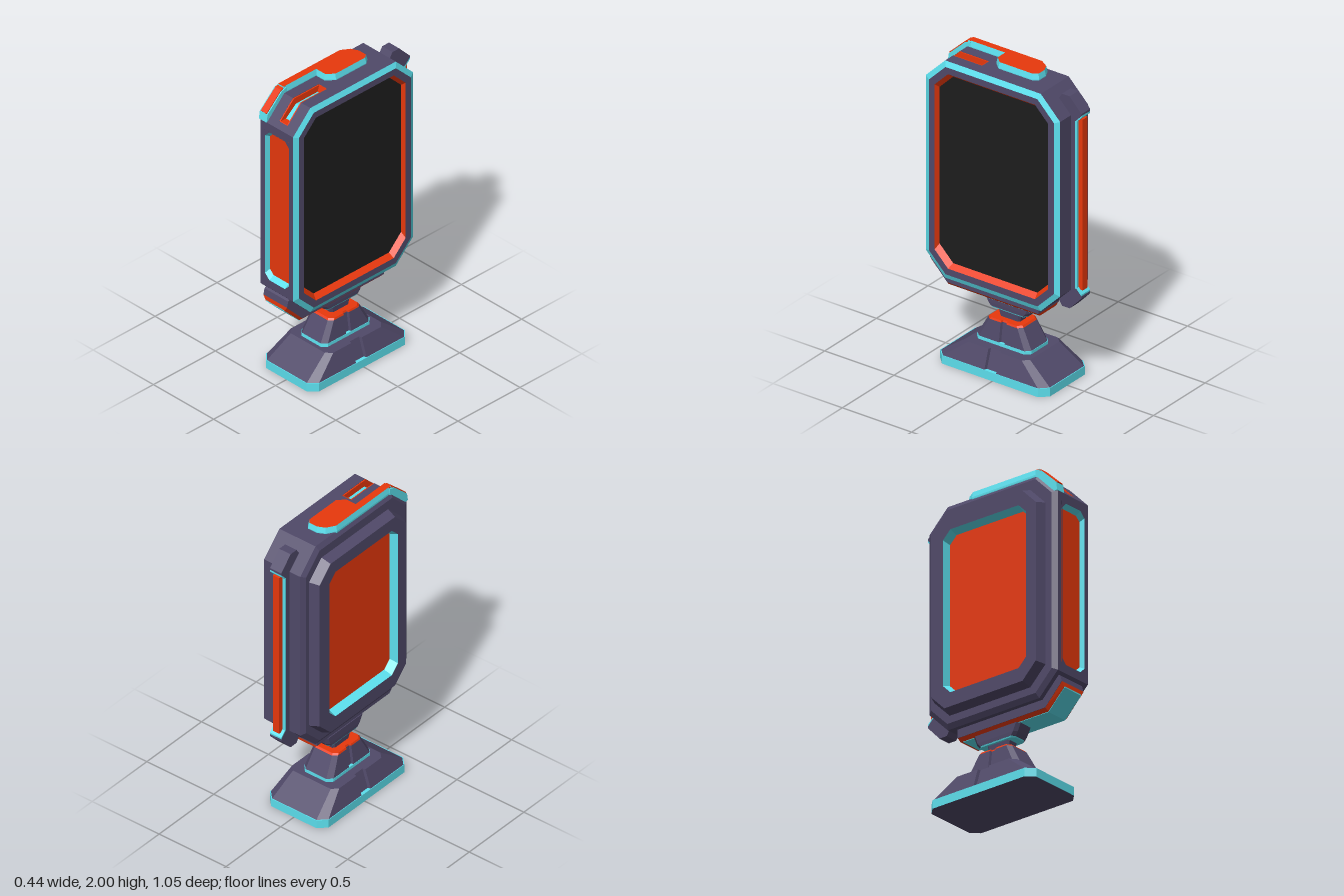
import * as THREE from 'three';

const mat = (color) => new THREE.MeshStandardMaterial({ color, flatShading: true });

export function createModel() {
  const root = new THREE.Group();
  const purple = mat(0x504969), cyan = mat(0x5ce0ee), orange = mat(0xe8380c), black = mat(0x1d1d1d);

  const add = (name, geo, material) => {
    const m = new THREE.Mesh(geo, material);
    m.name = name;
    root.add(m);
    return m;
  };

  // chamfered rectangle, counter-clockwise, with an optional groove n deep in both sides
  const oct = (u0, u1, v0, v1, c, n = 0, va = 0, vb = 0) => {
    const e = 0.006;
    const groove = n ? [[0, va], [n, va + e], [n, vb - e], [0, vb]] : [];
    return [
      [u0 + c, v0], [u1 - c, v0], [u1, v0 + c],
      ...groove.map(([d, v]) => [u1 - d, v]),
      [u1, v1 - c], [u1 - c, v1], [u0 + c, v1], [u0, v1 - c],
      ...groove.map(([d, v]) => [u0 + d, v]).reverse(),
      [u0, v0 + c]];
  };

  // section [t, u0, u1, v0, v1, chamfer] shrunk evenly by d
  const inset = ([, u0, u1, v0, v1, c], d, t) => [t, u0 + d, u1 - d, v0 + d, v1 - d, c - 0.586 * d];

  // skin through sections along local z, turned to face a side
  const turn = {
    front: (g) => g,
    left: (g) => g.rotateY(Math.PI / 2),
    right: (g) => g.rotateY(-Math.PI / 2),
    up: (g) => g.rotateX(-Math.PI / 2),
  };
  const loft = (name, facing, material, sections, cap = false) => {
    const pos = [], idx = [];
    const loops = sections.map(([, ...s]) => oct(...s));
    const n = loops[0].length;
    loops.forEach((loop, i) => loop.forEach(([u, v]) => pos.push(u, v, sections[i][0])));
    const last = (loops.length - 1) * n;
    for (let a = 0; a < last; a++) {
      const b = a % n === n - 1 ? a - n + 1 : a + 1;
      idx.push(a, b, b + n, a, b + n, a + n);
    }
    if (cap) {
      const [t, u0, u1, v0, v1] = sections.at(-1);
      pos.push((u0 + u1) / 2, (v0 + v1) / 2, t);
      for (let j = 0; j < n; j++) idx.push(last + n, last + j, last + (j + 1) % n);
    }
    const g = new THREE.BufferGeometry();
    g.setAttribute('position', new THREE.Float32BufferAttribute(pos, 3));
    g.setIndex(idx);
    const flat = g.toNonIndexed();
    flat.computeVertexNormals();
    return add(name, turn[facing](flat), material);
  };

  // side profile of [z, y] points extruded from x0 to x1
  const slab = (name, pts, x0, x1, material) => {
    const shape = new THREE.Shape(pts.map(([z, y]) => new THREE.Vector2(-z, y)));
    const g = new THREE.ExtrudeGeometry(shape, { depth: x1 - x0, bevelEnabled: false });
    return add(name, g.rotateY(Math.PI / 2).translate(x0, 0, 0), material);
  };
  const box = (name, x0, x1, y0, y1, z0, z1, material) =>
    add(name, new THREE.BoxGeometry(x1 - x0, y1 - y0, z1 - z0)
      .translate((x0 + x1) / 2, (y0 + y1) / 2, (z0 + z1) / 2), material);

  // main housing, in slices so the front panel and top slot are cut in
  const bodyProfile = (notch, slot) => [
    [0.52, 0.675],
    ...(notch ? [[0.52, 0.725], [0.485, 0.725], [0.485, 1.765], [0.52, 1.765]] : []),
    [0.52, 1.82],
    ...(slot ? [[0.49, 1.85], [0.445, 1.84], [0.36, 1.91], [0.18, 1.91], [0.17, 1.96]] : [[0.38, 1.96]]),
    [-0.31, 1.96], [-0.45, 1.82], [-0.45, 0.675], [-0.31, 0.535], [0.38, 0.535]];
  [[-0.105, -0.075, 0, 0], [-0.075, 0.02, 1, 0], [0.02, 0.09, 1, 1], [0.09, 0.138, 1, 0], [0.138, 0.145, 0, 0]]
    .forEach(([x0, x1, notch, slot]) => slab('housing', bodyProfile(notch, slot), x0, x1, purple));

  // screen side: cyan bezel, inner rim, orange slope and screen
  const L = [0.145, -0.52, 0.45, 0.535, 1.96, 0.14];
  const edge = inset(L, 0, 0.165), rim = inset(L, 0.033, 0.18), lip = inset(L, 0.075, 0.18);
  const glass = [0.147, -0.434, 0.37, 0.637, 1.859, 0.098];
  loft('housingEdge', 'left', purple, [L, edge]);
  loft('bezel', 'left', cyan, [edge, rim]);
  loft('bezelRim', 'left', purple, [rim, lip]);
  loft('screenSurround', 'left', orange, [lip, glass]);
  loft('screen', 'left', black, [glass], true);

  // rear cover with a sunken panel
  const B = [0.105, -0.45, 0.52, 0.535, 1.96, 0.14];
  loft('housingBevel', 'right', purple, [B, inset(B, 0.03, 0.125)], true);
  const C = [0.185, -0.37, 0.42, 0.635, 1.848, 0.1];
  const open = [0.185, -0.28, 0.345, 0.725, 1.765, 0.055], floor = [0.133, -0.27, 0.333, 0.745, 1.745, 0.05];
  loft('rearCover', 'right', purple, [inset(C, -0.025, 0.12), C, open]);
  loft('rearPanelWall', 'right', cyan, [open, floor]);
  loft('rearPanel', 'right', orange, [floor], true);

  // front panel: corner-cut frame, sloped wall and sunken face
  const F = [0.5205, -0.066, 0.133, 0.73, 1.76, 0.035], face = [0.488, -0.058, 0.127, 0.752, 1.738, 0.03];
  loft('frontFrame', 'front', purple, [[0.5205, -0.075, 0.138, 0.725, 1.765, 0], F]);
  loft('frontPanelWall', 'front', cyan, [F, face]);
  loft('frontPanel', 'front', orange, [face], true);

  // top slot lining
  const slotShape = [[0.172, 1.958], [0.183, 1.91], [0.36, 1.91], [0.445, 1.84], [0.488, 1.85], [0.38, 1.958]];
  slab('slotCheek', slotShape, 0.02, 0.028, orange);
  slab('slotCheek', slotShape, 0.082, 0.09, orange);
  slab('slotFloor', [[0.18, 1.91], [0.18, 1.917], [0.363, 1.917], [0.448, 1.847], [0.445, 1.84], [0.36, 1.91]], 0.028, 0.082, cyan);
  slab('slotEnd', [[0.443, 1.841], [0.443, 1.851], [0.487, 1.852], [0.49, 1.85]], 0.028, 0.082, orange);
  slab('slotEnd', [[0.17, 1.959], [0.175, 1.959], [0.188, 1.914], [0.18, 1.91]], 0.028, 0.082, orange);

  // raised top plate with sloped sides, running down the front slope as a strip
  const plate = new THREE.Shape([
    [-0.105, 0.38], [-0.105, -0.12], [-0.07, -0.175], [-0.025, -0.197], [0.035, -0.197],
    [0.055, -0.17], [0.055, 0.07], [0.013, 0.115], [-0.058, 0.115], [-0.058, 0.38],
  ].map(([x, z]) => new THREE.Vector2(x, -z)));
  add('topPlate', new THREE.ExtrudeGeometry(plate, {
    depth: 0.01, bevelThickness: 0.035, bevelSize: 0.008, bevelOffset: -0.001, bevelSegments: 1,
  }).rotateX(-Math.PI / 2).translate(0, 1.955, 0), [orange, cyan]);
  slab('topStripSide', [[0.36, 1.95], [0.36, 1.992], [0.4, 1.98], [0.515, 1.872], [0.523, 1.82], [0.5, 1.82]], -0.115, -0.051, cyan);
  slab('topStrip', [[0.36, 1.985], [0.36, 2], [0.4, 1.987], [0.518, 1.877], [0.512, 1.87], [0.395, 1.975]], -0.106, -0.058, orange);

  // back rail: two end caps holding a flanged bar
  const mirrored = (pts) => pts.map(([z, y]) => [z, 2.49 - y]);
  const cap = [[-0.36, 1.9], [-0.385, 1.94], [-0.44, 1.94], [-0.525, 1.85], [-0.525, 1.835], [-0.48, 1.79], [-0.43, 1.79]];
  const capTrim = [[-0.525, 1.838], [-0.525, 1.825], [-0.492, 1.79], [-0.478, 1.79]];
  for (const flip of [(p) => p, mirrored]) {
    slab('railCap', flip(cap), -0.025, 0.06, purple);
    slab('railCapTrim', flip(capTrim), -0.025, 0.06, cyan);
  }
  box('railMount', -0.025, 0.06, 0.69, 1.8, -0.48, -0.44, purple);
  box('railFlange', -0.025, 0.06, 0.69, 1.8, -0.492, -0.48, cyan);
  box('railBar', -0.006, 0.042, 0.685, 1.805, -0.521, -0.49, orange);

  // chin plate under the housing; its trim narrows towards the bottom
  slab('chin', [[0.515, 0.65], [0.525, 0.61], [0.4, 0.48], [-0.26, 0.48], [-0.26, 0.56], [0.4, 0.56], [0.5, 0.66]], -0.076, 0.12, purple);
  const trim = slab('chinTrim', [[0.525, 0.612], [0.525, 0.58], [0.405, 0.46], [-0.255, 0.46], [-0.26, 0.482], [0.4, 0.482]], -0.076, 0.12, orange).geometry;
  const p = trim.attributes.position;
  for (let i = 0; i < p.count; i++) {
    if (p.getY(i) < 0.47 || (p.getZ(i) > 0.5 && p.getY(i) < 0.6)) p.setX(i, 0.022 + (p.getX(i) - 0.022) * 0.8);
  }
  trim.computeVertexNormals();
  slab('chinUnderside', [[0.527, 0.585], [0.527, 0.578], [0.406, 0.457], [-0.24, 0.457], [-0.24, 0.47], [0.4, 0.47]], -0.053, 0.097, cyan);

  // stand, each tier given as [y, half width, z back, z front, corner cut, groove depth, groove back, groove front]
  const tier = (name, material, rows, cap = true) =>
    loft(name, 'up', material, rows.map(([y, w, z0, z1, c, n, za, zb]) => [y, -w, w, -z1, -z0, c, n, -zb, -za]), cap);
  const point = (y) => [y, 0, 0.01, 0.01, 0];
  const baseGroove = [0.018, -0.025, 0.06], slit = [0.014, -0.006, 0.036];
  tier('baseUnderside', purple, [point(0), [0, 0.219, -0.38, 0.413, 0.05]], false);
  tier('baseTrim', cyan, [[0, 0.219, -0.38, 0.413, 0.05], [0.055, 0.219, -0.38, 0.413, 0.05]]);
  tier('base', purple, [[0.053, 0.216, -0.378, 0.411, 0.05, ...baseGroove], [0.175, 0.176, -0.215, 0.24, 0.035, ...baseGroove]]);
  tier('pedestalTrim', cyan, [[0.17, 0.11, -0.18, 0.215, 0.03], [0.195, 0.109, -0.18, 0.212, 0.03]]);
  tier('pedestal', purple, [[0.194, 0.107, -0.178, 0.211, 0.03, ...slit], [0.318, 0.09, -0.11, 0.143, 0.025, ...slit]]);
  tier('pedestalCap', orange, [[0.317, 0.09, -0.11, 0.143, 0.025, ...slit], [0.329, 0.085, -0.1, 0.133, 0.025, ...slit]]);
  tier('neck', purple, [[0.325, 0.038, -0.06, 0.083, 0.012], [0.385, 0.043, -0.07, 0.097, 0.012]]);
  tier('neckTrim', cyan, [point(0.38), [0.38, 0.056, -0.118, 0.14, 0.02], [0.39, 0.06, -0.122, 0.145, 0.02]]);
  tier('neckCollar', purple, [point(0.388), [0.388, 0.06, -0.125, 0.148, 0.02], [0.41, 0.062, -0.142, 0.165, 0.02], [0.46, 0.064, -0.16, 0.19, 0.02]]);

  return root;
}
